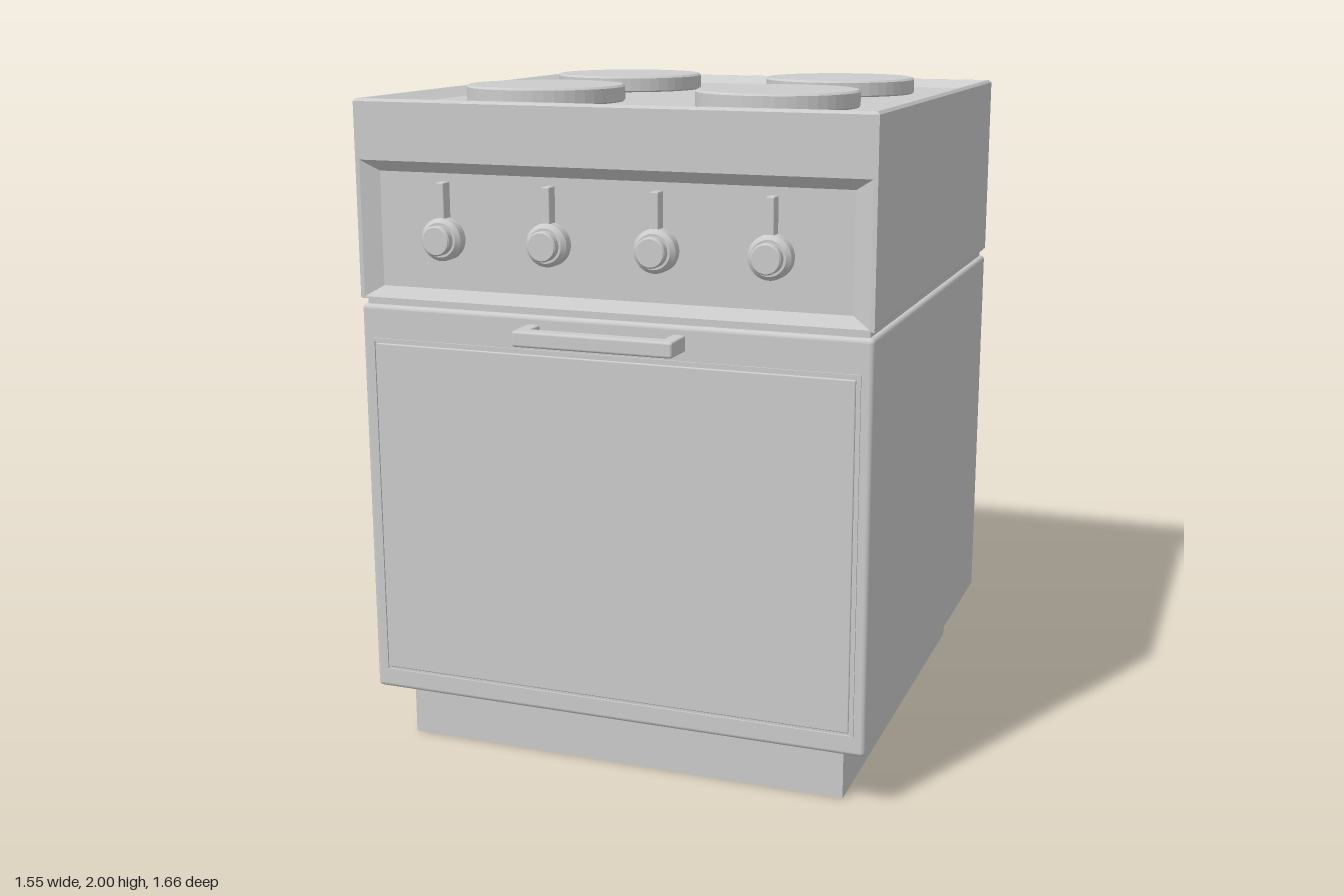
import * as THREE from 'three';
import { RoundedBoxGeometry } from 'three/addons/geometries/RoundedBoxGeometry.js';

const material = new THREE.MeshStandardMaterial({ color: 0xcccccc });
const BACK = -0.83, FRONT = 0.725, HALF = 0.775;
const MID_Z = (BACK + FRONT) / 2;

function add(parent, name, geometry, x = 0, y = 0, z = 0) {
  const mesh = new THREE.Mesh(geometry, material);
  mesh.name = name;
  mesh.position.set(x, y, z);
  parent.add(mesh);
  return mesh;
}

// Box given by its limits, with slightly rounded edges
function block(parent, name, [x0, x1], [y0, y1], [z0, z1], r = 0.01) {
  const geometry = new RoundedBoxGeometry(x1 - x0, y1 - y0, z1 - z0, 3, r);
  return add(parent, name, geometry, (x0 + x1) / 2, (y0 + y1) / 2, (z0 + z1) / 2);
}

// Joins rectangular loops [halfWidth, v0, v1, depth] facing +z; optional floor and skipped side
function loft(loops, { start = false, end = true, skip = () => false } = {}) {
  const pos = [];
  const corners = loops.map(([w, v0, v1, d]) => [[-w, v0, d], [w, v0, d], [w, v1, d], [-w, v1, d]]);
  const quad = (a, b, c, d) => pos.push(...a, ...b, ...c, ...a, ...c, ...d);
  for (let i = 0; i + 1 < corners.length; i++) {
    for (let k = 0; k < 4; k++) {
      const n = (k + 1) % 4;
      if (!skip(i, k)) quad(corners[i][k], corners[i][n], corners[i + 1][n], corners[i + 1][k]);
    }
  }
  if (start) quad(...[...corners[0]].reverse());
  if (end) quad(...corners[corners.length - 1]);
  const geometry = new THREE.BufferGeometry();
  geometry.setAttribute('position', new THREE.Float32BufferAttribute(pos, 3));
  geometry.computeVertexNormals();
  return geometry;
}

// Round part turned around the y axis with a rounded upper and lower edge
function disc(radius, height, bevel) {
  const points = [[0, 0], [radius - bevel, 0], [radius, bevel], [radius, height - bevel],
    [radius - bevel, height], [0, height]].map(([x, y]) => new THREE.Vector2(x, y));
  const geometry = new THREE.LatheGeometry(points, 48).toNonIndexed();
  geometry.computeVertexNormals();
  return geometry;
}

export function createModel() {
  const cooker = new THREE.Group();
  cooker.name = 'cooker';

  // Plinth, oven body and the narrow joint below the control section
  add(cooker, 'plinth', new THREE.BoxGeometry(1.385, 0.19, 1.39), 0, 0.095, -0.055);
  block(cooker, 'ovenBody', [-HALF, HALF], [0.175, 1.377], [BACK, FRONT], 0.014);
  add(cooker, 'joint', new THREE.BoxGeometry(1.52, 0.06, 1.525), 0, 1.387, MID_Z);

  // Upper shell with a sunken hob; its front wall is left open for the control panel
  const shell = loft([
    [HALF - 0.008, -FRONT, -BACK - 0.008, 1.395],
    [HALF, -FRONT, -BACK, 1.403],
    [HALF, -FRONT, -BACK, 1.967],
    [HALF - 0.008, -FRONT + 0.008, -BACK - 0.008, 1.975],
    [0.755, -FRONT + 0.02, -BACK - 0.02, 1.975],
    [0.705, -0.655, 0.765, 1.95],
  ], { start: true, skip: (i, k) => i < 2 && k === 0 });
  shell.rotateX(-Math.PI / 2);
  add(cooker, 'hobShell', shell);

  // Control panel sunk into the front with sloping borders
  add(cooker, 'controlPanel', loft([
    [HALF, 1.395, 1.967, FRONT],
    [0.762, 1.4, 1.8, FRONT],
    [0.71, 1.432, 1.768, 0.7],
  ]));

  // Four hot plates
  for (const x of [-0.365, 0.365]) {
    for (const z of [-0.388, 0.29]) {
      add(cooker, 'hotPlate', disc(0.238, 0.052, 0.006), x, 1.948, z);
    }
  }

  // Knobs with a pointer bar above each
  for (const x of [-0.498, -0.169, 0.155, 0.485]) {
    const knob = new THREE.Group();
    knob.name = 'knob';
    knob.position.set(x, 1.582, 0.695);
    add(knob, 'knobBase', disc(0.062, 0.055, 0.012)).rotation.x = Math.PI / 2;
    add(knob, 'knobCap', disc(0.043, 0.08, 0.004)).rotation.x = Math.PI / 2;
    block(knob, 'knobPointer', [-0.012, 0.012], [0.03, 0.163], [0, 0.043], 0.004);
    cooker.add(knob);
  }

  // Door panel: a thin frame around a groove and the flat pane
  const frame = new THREE.Shape();
  const rect = (path, w, y0, y1) =>
    path.moveTo(-w, y0).lineTo(w, y0).lineTo(w, y1).lineTo(-w, y1).closePath();
  rect(frame, 0.742, 0.228, 1.278);
  const hole = new THREE.Path();
  rect(hole, 0.734, 0.238, 1.269);
  frame.holes.push(hole);
  add(cooker, 'doorFrame', new THREE.ExtrudeGeometry(frame, { depth: 0.015, bevelEnabled: false }), 0, 0, 0.715);
  block(cooker, 'doorPane', [-0.728, 0.728], [0.245, 1.263], [0.7, 0.73], 0.004);

  // Door handle on two posts
  const handle = new THREE.Group();
  handle.name = 'doorHandle';
  block(handle, 'handleBar', [-0.24, 0.24], [1.305, 1.351], [0.782, 0.83], 0.008);
  for (const side of [-1, 1]) {
    const post = block(handle, 'handlePost', [-0.02, 0.02], [1.305, 1.351], [0.71, 0.8], 0.006);
    post.position.x = side * 0.22;
  }
  cooker.add(handle);

  return cooker;
}
